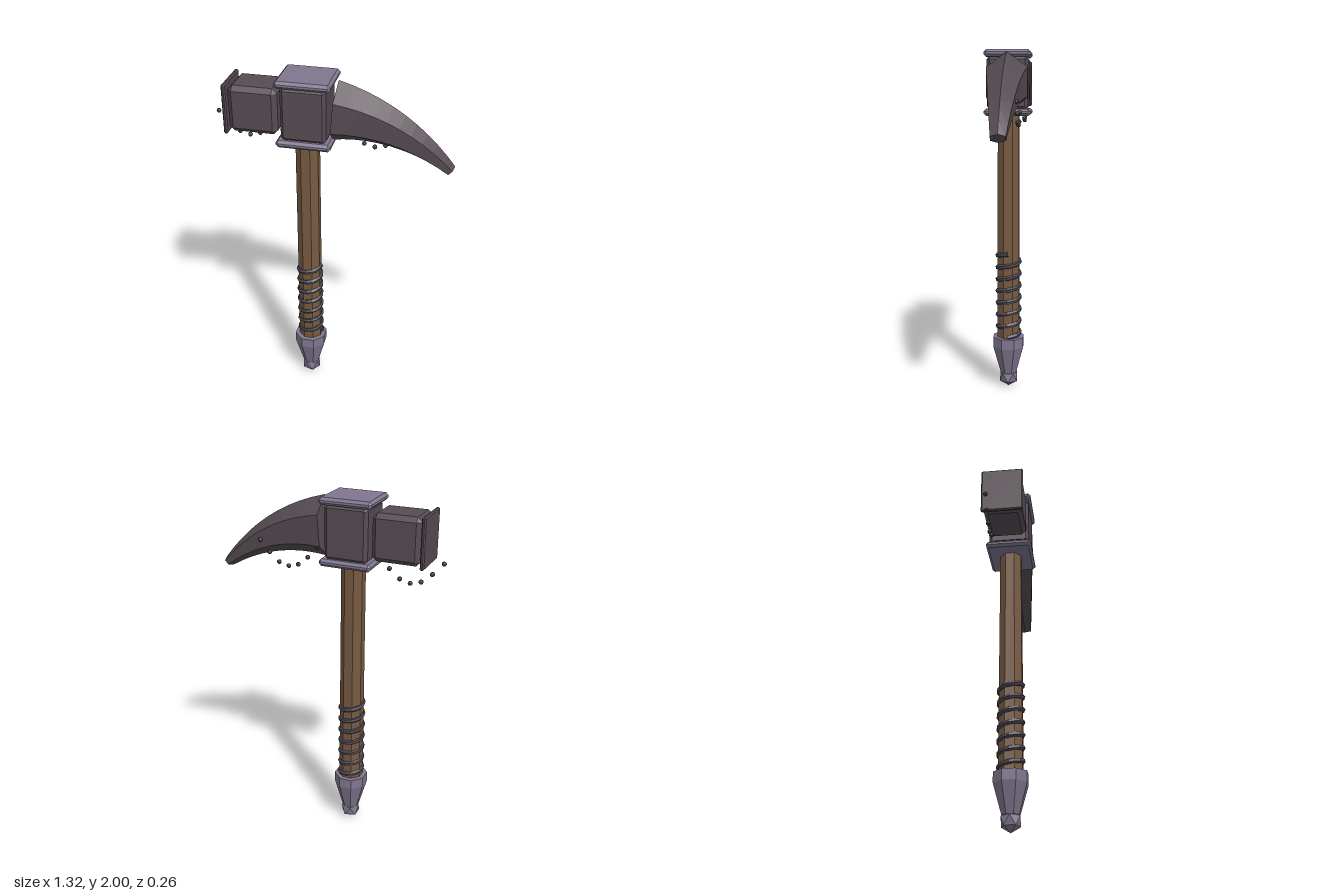
import * as THREE from 'three';
import { ConvexGeometry } from 'three/addons/geometries/ConvexGeometry.js';

const AXIS = -0.132; // x of the shaft

const mat = (name, color) => {
  const m = new THREE.MeshStandardMaterial({ color, flatShading: true });
  m.name = name;
  return m;
};

// Box with every edge cut by c, given by its limits
function chamferBox(x0, x1, y0, y1, z, c) {
  const w = (x1 - x0) / 2, h = (y1 - y0) / 2, pts = [];
  for (const sx of [-1, 1]) for (const sy of [-1, 1]) for (const sz of [-1, 1]) {
    pts.push(new THREE.Vector3(sx * w, sy * (h - c), sz * (z - c)));
    pts.push(new THREE.Vector3(sx * (w - c), sy * h, sz * (z - c)));
    pts.push(new THREE.Vector3(sx * (w - c), sy * (h - c), sz * z));
  }
  return new ConvexGeometry(pts).translate((x0 + x1) / 2, (y0 + y1) / 2, 0);
}

// Curved pick: hexagonal sections shrinking along a bent centre line
function pickGeometry() {
  const curve = new THREE.QuadraticBezierCurve3(
    new THREE.Vector3(0.022, 1.82, 0),
    new THREE.Vector3(0.36, 1.793, 0),
    new THREE.Vector3(0.635, 1.547, 0));
  const N = 10, S = 6, pos = [], idx = [];
  for (let i = 0; i <= N; i++) {
    const t = i / N, p = curve.getPoint(t), d = curve.getTangent(t);
    const ry = THREE.MathUtils.lerp(0.167, 0.03, t);
    const rz = THREE.MathUtils.lerp(0.133, 0.045, t);
    for (let j = 0; j < S; j++) {
      const a = j / S * Math.PI * 2, u = Math.cos(a) * ry;
      pos.push(p.x - d.y * u, p.y + d.x * u, Math.sin(a) * rz);
    }
  }
  for (let i = 0; i < N; i++) for (let j = 0; j < S; j++) {
    const a = i * S + j, b = i * S + (j + 1) % S;
    idx.push(a, b, a + S, b, b + S, a + S);
  }
  for (let j = 1; j < S - 1; j++) { // end caps
    idx.push(0, j + 1, j);
    idx.push(N * S, N * S + j, N * S + j + 1);
  }
  const g = new THREE.BufferGeometry();
  g.setAttribute('position', new THREE.Float32BufferAttribute(pos, 3));
  g.setIndex(idx);
  g.computeVertexNormals();
  return g;
}

// Cord wound up the grip
class Helix extends THREE.Curve {
  getPoint(t, out = new THREE.Vector3()) {
    const a = -t * 7 * Math.PI * 2;
    return out.set(AXIS + Math.cos(a) * 0.064, 0.322 + t * 0.508, Math.sin(a) * 0.064);
  }
}

export function createModel() {
  const group = new THREE.Group();
  const iron = mat('darkIron', 0x564c53);
  const steel = mat('paleSteel', 0x80768f);
  const wood = mat('wood', 0x775a41);
  const cord = mat('cord', 0x4a4751);
  const stud = mat('stud', 0x403c41);

  const add = (name, geo, material, x = 0, y = 0, z = 0) => {
    const m = new THREE.Mesh(geo, material);
    m.name = name;
    m.position.set(x, y, z);
    group.add(m);
    return m;
  };
  const octagon = (rTop, rBottom, y0, y1) =>
    new THREE.CylinderGeometry(rTop, rBottom, y1 - y0, 8)
      .rotateY(Math.PI / 8).translate(0, (y0 + y1) / 2, 0);

  // Shaft and grip
  add('shaft', octagon(0.066, 0.07, 0.28, 1.66), wood, AXIS);
  add('gripCord', new THREE.TubeGeometry(new Helix(), 112, 0.015, 6), cord);

  // Pommel
  add('pommelCollar', octagon(0.097, 0.097, 0.255, 0.315), steel, AXIS);
  add('pommelTaper', octagon(0.097, 0.05, 0.09, 0.255), steel, AXIS);
  const tip = new THREE.IcosahedronGeometry(0.06).rotateZ(Math.atan(2 / (1 + Math.sqrt(5))));
  add('pommelTip', tip, steel, AXIS, 0.06);

  // Head block between two plates
  add('headBlock', chamferBox(-0.25, -0.008, 1.67, 1.965, 0.116, 0.018), iron);
  add('lowerPlate', chamferBox(-0.275, 0.018, 1.635, 1.675, 0.131, 0.014), steel);
  add('upperPlate', chamferBox(-0.275, 0.018, 1.96, 2.0, 0.131, 0.014), steel);

  // Hammer side
  add('hammerBlock', chamferBox(-0.531, -0.268, 1.69, 1.943, 0.108, 0.025), iron);
  add('hammerFace', chamferBox(-0.557, -0.535, 1.68, 1.953, 0.117, 0.007), iron);

  // Pick side
  add('pick', pickGeometry(), iron);

  // Two hanging arcs of studs behind the head
  const drop = [1.72, 1.658, 1.61, 1.595, 1.61, 1.658, 1.72];
  for (const x0 of [-0.65, 0.045]) {
    drop.forEach((y, i) => add('stud', new THREE.IcosahedronGeometry(0.013, 1), stud,
      x0 + i * 0.0575, y, -0.076));
  }
  return group;
}
